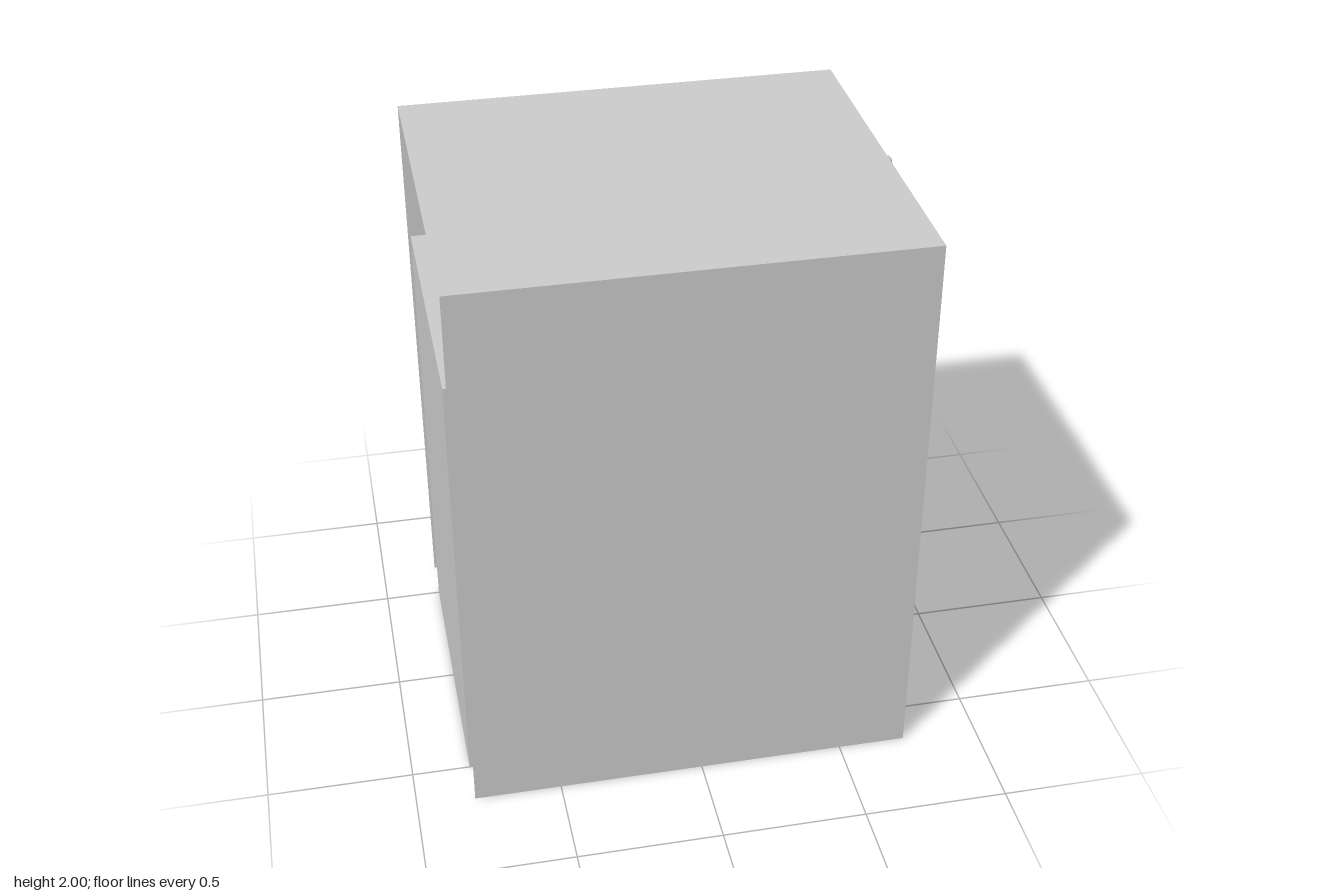
import * as THREE from 'three';

const FACE = 0.735, BACK = -0.8, HALF = 0.66, TOP = 2;   // outer shell
const DOOR = 0.5, DOOR_TOP = 1.58;                       // cabin and doorway

const solid = new THREE.MeshStandardMaterial({ color: 0xcccccc });
const flat = new THREE.MeshStandardMaterial({ color: 0xcccccc, flatShading: true });
const sheet = new THREE.MeshStandardMaterial({ color: 0xcccccc, side: THREE.DoubleSide });

export function createModel() {
  const model = new THREE.Group();

  function add(parent, name, geometry, material, x = 0, y = 0, z = 0) {
    const mesh = new THREE.Mesh(geometry, material);
    mesh.name = name;
    mesh.position.set(x, y, z);
    parent.add(mesh);
    return mesh;
  }
  function group(name) {
    const g = new THREE.Group();
    g.name = name;
    model.add(g);
    return g;
  }
  // box given by its limits
  function block(parent, name, x0, x1, y0, y1, z0, z1) {
    return add(parent, name, new THREE.BoxGeometry(x1 - x0, y1 - y0, z1 - z0), solid,
      (x0 + x1) / 2, (y0 + y1) / 2, (z0 + z1) / 2);
  }

  const depth = FACE - BACK, midX = (FACE + BACK) / 2;

  // thin side walls and a horizontal sheet, shared by shell and cabin
  function sideWalls(parent, height, half) {
    for (const s of [1, -1]) {
      const wall = add(parent, s > 0 ? 'frontWall' : 'rearWall',
        new THREE.PlaneGeometry(depth, height), sheet, midX, height / 2, s * half);
      if (s < 0) wall.rotation.y = Math.PI;
    }
  }
  function slab(parent, name, y, half, up) {
    const mesh = add(parent, name, new THREE.PlaneGeometry(depth, half * 2), sheet, midX, y, 0);
    mesh.rotation.x = up ? -Math.PI / 2 : Math.PI / 2;
  }

  // Outer shell, open at the back and below
  const shell = group('shell');
  sideWalls(shell, TOP, HALF);
  slab(shell, 'roof', TOP, HALF, true);
  const facade = new THREE.Shape([
    [-HALF, 0], [-DOOR, 0], [-DOOR, DOOR_TOP], [DOOR, DOOR_TOP],
    [DOOR, 0], [HALF, 0], [HALF, TOP], [-HALF, TOP],
  ].map(p => new THREE.Vector2(...p)));
  add(shell, 'doorwayWall', new THREE.ShapeGeometry(facade), sheet, FACE).rotation.y = Math.PI / 2;

  // Cabin behind the doorway
  const cabin = group('cabin');
  sideWalls(cabin, DOOR_TOP, DOOR);
  slab(cabin, 'floor', 0.003, DOOR, true);
  slab(cabin, 'ceiling', DOOR_TOP, DOOR, false);
  add(cabin, 'backWall', new THREE.PlaneGeometry(DOOR * 2, DOOR_TOP), sheet,
    BACK, DOOR_TOP / 2, 0).rotation.y = Math.PI / 2;

  // Half-round dial above the doorway
  const dialShape = new THREE.Shape();
  for (let i = 0; i <= 12; i++) {
    const a = i / 12 * Math.PI;
    const x = 0.29 * Math.cos(a), y = 0.284 * Math.sin(a);
    i ? dialShape.lineTo(x, y) : dialShape.moveTo(x, y);
  }
  const dialGeo = new THREE.ExtrudeGeometry(dialShape, {
    depth: 0.02, bevelThickness: 0.005, bevelSize: 0.005, bevelSegments: 1,
  });
  add(model, 'floorDial', dialGeo, flat, FACE, 1.62, 0.005).rotation.y = Math.PI / 2;

  // Round lamps in an arch over the dial
  const lamps = group('lamps');
  const lampGeo = new THREE.LatheGeometry([
    [0.025, 0], [0.025, 0.014], [0.023, 0.02], [0.018, 0.024], [0, 0.025],
  ].map(p => new THREE.Vector2(...p)), 16);
  const arch = [[0.358, 1.643], [0.33, 1.75], [0.266, 1.84], [0.185, 1.903], [0.1, 1.94], [0, 1.957]];
  for (const [z, y] of arch) {
    for (const s of z ? [1, -1] : [1]) {
      add(lamps, 'lamp', lampGeo, solid, FACE, y, 0.008 + s * z).rotation.z = -Math.PI / 2;
    }
  }

  // Call panel beside the doorway
  const call = group('callPanel');
  block(call, 'backPlate', FACE, 0.765, 0.645, 0.925, -0.632, -0.522);
  block(call, 'facePlate', 0.765, 0.78, 0.655, 0.915, -0.622, -0.532);
  block(call, 'callButton', 0.78, 0.797, 0.762, 0.81, -0.606, -0.548);

  // Control panel with two buttons on the cabin's rear wall
  const control = group('controlPanel');
  block(control, 'controlPlate', -0.1, 0.13, 0.8, 1.025, -DOOR, -0.468);
  const buttonGeo = new THREE.LatheGeometry([
    [0.04, 0], [0.04, 0.01], [0.034, 0.018], [0, 0.019],
  ].map(p => new THREE.Vector2(...p)), 20);
  for (const y of [0.87, 0.97]) {
    add(control, 'controlButton', buttonGeo, solid, 0.01, y, -0.468).rotation.x = Math.PI / 2;
  }

  // Handrail with ends bent into the cabin's front wall
  const railPath = new THREE.CatmullRomCurve3([
    [0.2, 0.5], [0.195, 0.45], [0.165, 0.42], [0.11, 0.413],
    [-0.17, 0.413], [-0.225, 0.42], [-0.255, 0.45], [-0.26, 0.5],
  ].map(([x, z]) => new THREE.Vector3(x, 0.595, z)));
  add(model, 'handrail', new THREE.TubeGeometry(railPath, 48, 0.016, 10), solid);

  return model;
}
